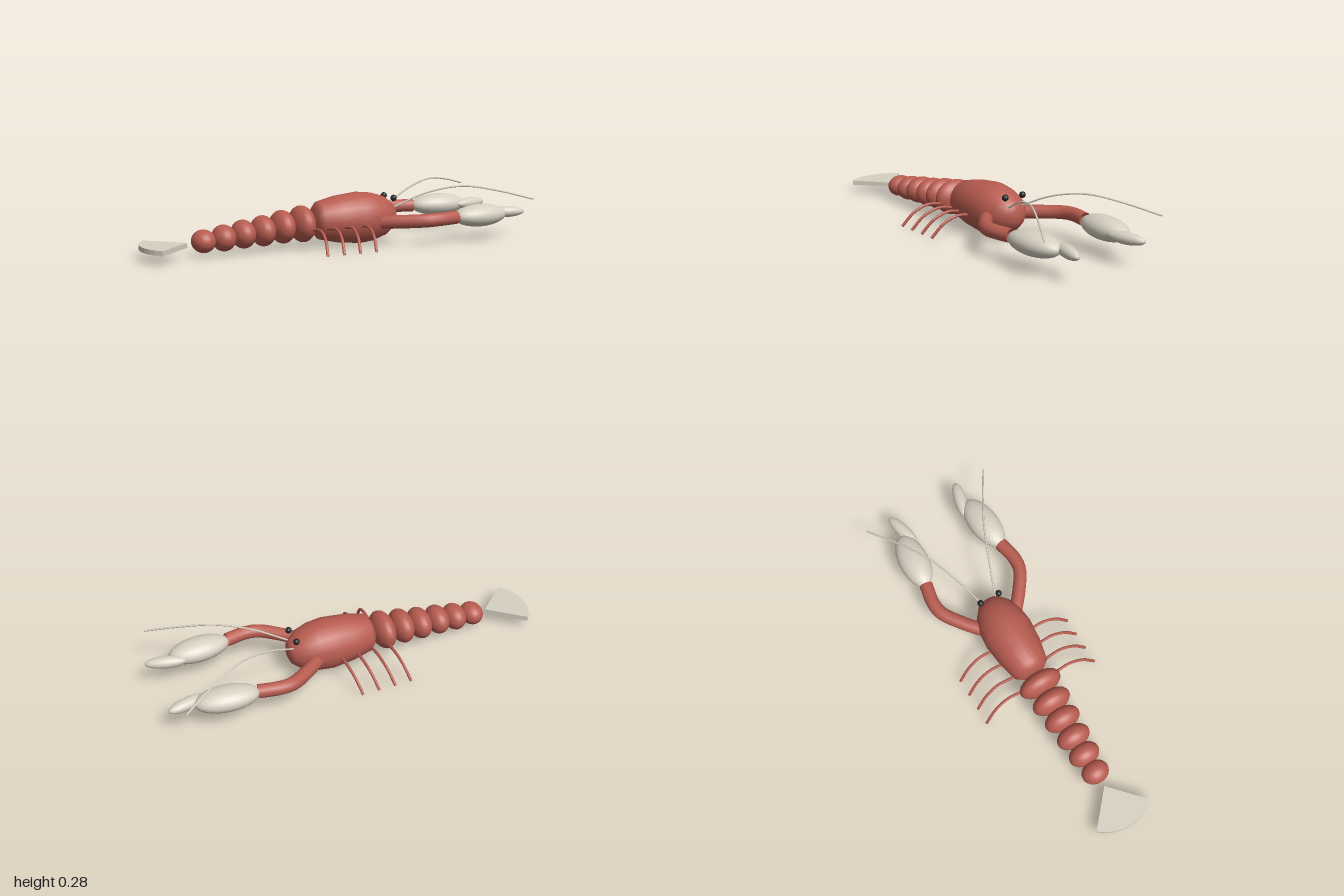
import * as THREE from 'three';

const mat = (name, color, side = THREE.FrontSide) => {
  const m = new THREE.MeshStandardMaterial({ color, side });
  m.name = name;
  return m;
};

export function createModel() {
  const model = new THREE.Group();
  model.name = 'crayfish';
  const shell = mat('shellRed', 0xb85c50, THREE.DoubleSide);
  const bone = mat('boneBeige', 0xd6d0c1, THREE.DoubleSide);
  const black = mat('eyeBlack', 0x222426);

  const add = (name, geometry, material, parent = model) => {
    const mesh = new THREE.Mesh(geometry, material);
    mesh.name = name;
    parent.add(mesh);
    return mesh;
  };
  const ellipsoid = (name, material, pos, radii, yaw = 0, parent = model) => {
    const mesh = add(name, new THREE.SphereGeometry(1, 24, 16), material, parent);
    mesh.position.set(...pos);
    mesh.scale.set(...radii);
    mesh.rotation.y = yaw;
    return mesh;
  };
  const tube = (name, material, points, radius, sides, parent) => {
    const curve = new THREE.CatmullRomCurve3(points.map(p => new THREE.Vector3(...p)));
    return add(name, new THREE.TubeGeometry(curve, 20, radius, sides), material, parent);
  };

  // Carapace: turned profile lying along x
  const profile = [[0, -0.12], [0.065, -0.115], [0.095, -0.09], [0.118, 0.01], [0.13, 0.126],
    [0.122, 0.2], [0.1, 0.27], [0.06, 0.32], [0.03, 0.333], [0, 0.335]];
  const carapace = add('carapace',
    new THREE.LatheGeometry(profile.map(p => new THREE.Vector2(...p)), 24), shell);
  carapace.rotation.z = -Math.PI / 2;
  carapace.position.y = 0.134;

  // Abdomen segments shrinking towards the tail: x, y, half width
  [[-0.18, 0.124, 0.113], [-0.285, 0.117, 0.102], [-0.387, 0.105, 0.094],
    [-0.49, 0.097, 0.087], [-0.59, 0.086, 0.08], [-0.692, 0.078, 0.07]].forEach(([x, y, w], i) =>
    ellipsoid(`abdomenSegment${i + 1}`, shell, [x, y, 0], [0.058, w * 0.8, w]));

  // Tail fan: flat sector
  const fan = new THREE.Shape();
  fan.moveTo(0, 0);
  for (let i = 0; i <= 8; i++) {
    const a = Math.PI + (i / 4 - 1) * 0.73;
    fan.lineTo(Math.cos(a) * 0.227, Math.sin(a) * 0.227);
  }
  const tail = add('tailFan',
    new THREE.ExtrudeGeometry(fan, { depth: 0.024, bevelEnabled: false }), bone);
  tail.rotation.x = -Math.PI / 2;
  tail.position.set(-0.773, 0.053, 0);

  // Paired parts on both sides
  for (const s of [1, -1]) {
    const side = new THREE.Group();
    side.name = s > 0 ? 'nearSide' : 'farSide';
    model.add(side);

    tube('clawArm', shell, [[0.21, 0.116, s * 0.09], [0.3, 0.124, s * 0.167],
      [0.4, 0.132, s * 0.232], [0.47, 0.135, s * 0.24], [0.57, 0.135, s * 0.222]], 0.034, 14, side);
    ellipsoid('clawPalm', bone, [0.72, 0.134, s * 0.209], [0.157, 0.057, 0.077], s * 0.1, side)
      .rotation.y = -s * -0.08;
    ellipsoid('clawFinger', bone, [0.9, 0.134, s * 0.172], [0.102, 0.029, 0.033], -s * 0.25, side);
    ellipsoid('eye', black, [0.305, 0.228, s * 0.052], [0.016, 0.016, 0.016], 0, side);
    tube('antenna', bone, [[0.31, 0.177, s * 0.037], [0.47, 0.25, s * 0.096],
      [0.64, 0.283, s * 0.168], [0.8, 0.26, s * 0.255], [0.95, 0.22, s * 0.345]], 0.0045, 6, side);

    // Walking legs
    for (let i = 0; i < 4; i++) {
      const x = -0.165 + i * 0.086;
      tube(`walkingLeg${i + 1}`, shell, [[x, 0.1, s * 0.07], [x + 0.003, 0.115, s * 0.18],
        [x - 0.007, 0.085, s * 0.255], [x - 0.024, 0.018, s * 0.317]], 0.0075, 8, side);
    }
  }
  return model;
}
